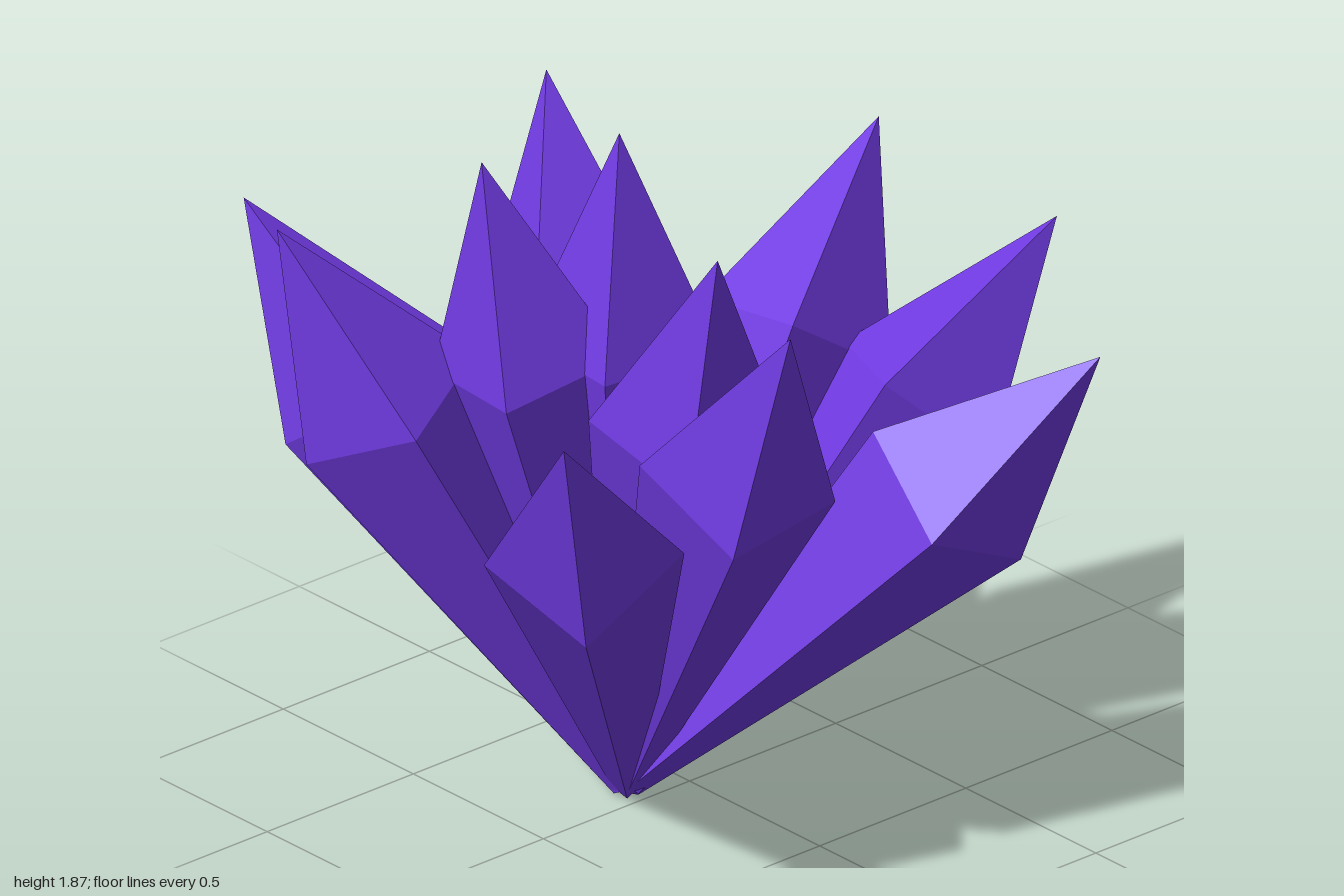
import * as THREE from 'three';

// Shared root of the cluster
const ROOT = new THREE.Vector3(-0.17, 0.03, -0.05);

// One entry per crystal: tip position, then the direction from its axis to one shoulder corner
const CRYSTALS = [
  [[-1.0, 1.51, 0.64], [-0.19, -0.02, -0.18]],
  [[-0.86, 1.63, -0.62], [-0.115, 0.03, 0.23]],
  [[-0.68, 1.54, -0.95], [0.11, -0.08, -0.205]],
  [[-0.48, 1.83, -0.26], [-0.21, -0.02, 0.15]],
  [[-0.34, 1.78, 0.49], [0.19, -0.03, 0.16]],
  [[-0.34, 1.66, 0.77], [0.19, -0.05, 0.155]],
  [[-0.16, 1.87, -0.09], [0.16, 0, 0.2]],
  [[0.24, 1.65, -0.82], [-0.13, -0.07, -0.205]],
  [[0.56, 1.38, 0.95], [-0.2, -0.02, 0.16]],
  [[0.87, 1.52, -0.25], [-0.145, 0.07, -0.2]],
  [[0.99, 1.4, 0.3], [0.04, -0.09, 0.22]],
];

// Four-sided shard: small foot, flaring body, pyramid point
function shardGeometry(length) {
  const profile = [[0, 0], [0.04, 0], [0.257, 0.676 * length], [0, length]];
  const lathe = new THREE.LatheGeometry(profile.map(([r, y]) => new THREE.Vector2(r, y)), 4);
  const flat = lathe.toNonIndexed();
  flat.computeVertexNormals();
  return flat;
}

export function createModel() {
  const group = new THREE.Group();
  group.name = 'crystalCluster';
  const material = new THREE.MeshStandardMaterial({ color: 0x6f3ae0, flatShading: true });

  CRYSTALS.forEach(([tip, corner], i) => {
    const axis = new THREE.Vector3(...tip).sub(ROOT);
    const length = axis.length();
    axis.normalize();

    // Turn the shard so that its first corner points along the given direction
    const z = new THREE.Vector3(...corner).projectOnPlane(axis).normalize();
    const x = new THREE.Vector3().crossVectors(axis, z);

    const crystal = new THREE.Mesh(shardGeometry(length), material);
    crystal.name = `crystal${i + 1}`;
    crystal.quaternion.setFromRotationMatrix(new THREE.Matrix4().makeBasis(x, axis, z));
    crystal.position.copy(ROOT);
    group.add(crystal);
  });

  return group;
}
